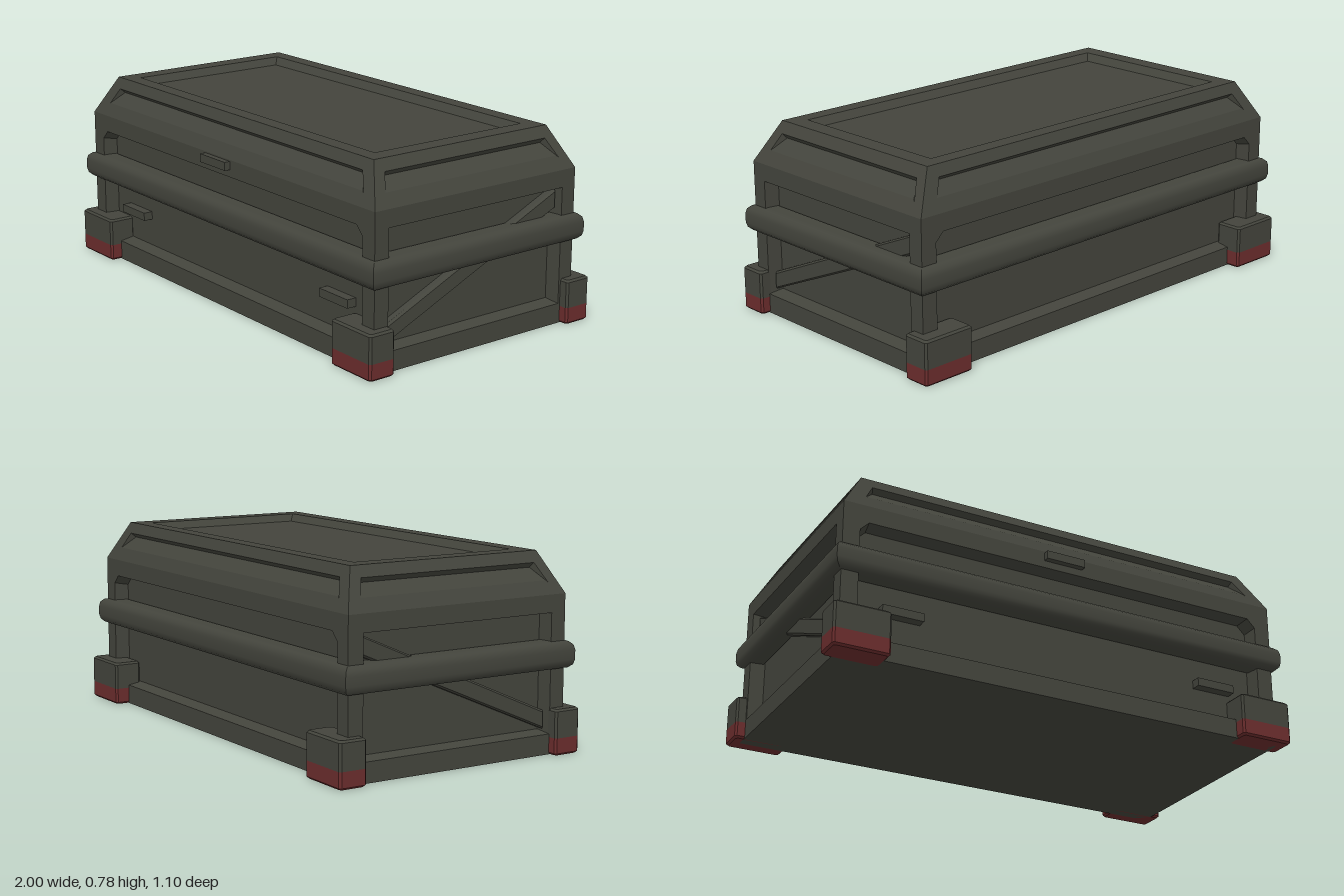
import * as THREE from 'three';

const metal = new THREE.MeshStandardMaterial({ color: 0x43443c });
metal.name = 'dark olive metal';
const red = new THREE.MeshStandardMaterial({ color: 0x6b2d2d });
red.name = 'dull red paint';

function add(parent, name, geometry, material = metal) {
  const mesh = new THREE.Mesh(geometry, material);
  mesh.name = name;
  parent.add(mesh);
  return mesh;
}

function fromTriangles(points) {
  const g = new THREE.BufferGeometry();
  g.setAttribute('position', new THREE.Float32BufferAttribute(points, 3));
  g.computeVertexNormals();
  return g;
}

// Flat plate facing +z with a sunken field; depths holds one depth per hole corner
function sunkenPanel(outer, hole, inset, depths) {
  const v2 = (list) => list.map(([x, y]) => new THREE.Vector2(x, y));
  const shape = new THREE.Shape(v2(outer));
  shape.holes.push(new THREE.Path(v2(hole)));
  const frame = new THREE.ShapeGeometry(shape).toNonIndexed();
  const pts = Array.from(frame.attributes.position.array);

  const ys = hole.map((p) => p[1]);
  const cy = (Math.min(...ys) + Math.max(...ys)) / 2;
  const rim = hole.map(([x, y]) => [x, y, 0]);
  const floor = hole.map(([x, y], i) =>
    [x - Math.sign(x) * inset, y - Math.sign(y - cy) * inset, -depths[i]]);
  const n = hole.length;
  for (let i = 0; i < n; i++) {
    const j = (i + 1) % n;
    pts.push(...rim[i], ...rim[j], ...floor[j], ...rim[i], ...floor[j], ...floor[i]);
    if (i > 0 && i < n - 1) pts.push(...floor[0], ...floor[i], ...floor[i + 1]);
  }
  return fromTriangles(pts);
}

// Tilt a plate back, move it out from the middle and turn it to its side
const place = (g, tilt, y, out, turn) => g.rotateX(-tilt).translate(0, y, out).rotateY(turn);

// Chamfered block from rectangular rings of [y, inset]
function block(w, d, rings) {
  const c = 0.008;
  const loops = rings.map(([y, inset]) => {
    const x = w / 2 - inset, z = d / 2 - inset;
    return [[x, z - c], [x - c, z], [c - x, z], [-x, z - c],
      [-x, c - z], [c - x, -z], [x - c, -z], [x, c - z]].map(([a, b]) => [a, y, b]);
  });
  const pts = [], top = loops[loops.length - 1], base = loops[0];
  for (let k = 0; k < loops.length - 1; k++) {
    for (let i = 0; i < 8; i++) {
      const j = (i + 1) % 8, a = loops[k], b = loops[k + 1];
      pts.push(...a[i], ...b[j], ...a[j], ...a[i], ...b[i], ...b[j]);
    }
  }
  for (let i = 1; i < 7; i++) {
    pts.push(...top[0], ...top[i + 1], ...top[i]);
    pts.push(...base[0], ...base[i], ...base[i + 1]);
  }
  return fromTriangles(pts);
}

// One mitred side of the rounded bumper, facing +z
function bumperSide(halfLength, out) {
  const profile = [[-0.03, -0.055], [0.015, -0.055], [0.036, -0.051], [0.05, -0.038], [0.055, -0.018],
    [0.055, 0.018], [0.05, 0.038], [0.036, 0.051], [0.015, 0.055], [-0.03, 0.055]];
  const pos = [], index = [];
  profile.forEach(([o, y], i) => {
    pos.push(-halfLength - o, y, out + o, halfLength + o, y, out + o);
    if (i) {
      const a = 2 * i - 2;
      index.push(a, a + 1, a + 3, a, a + 3, a + 2);
    }
  });
  const g = new THREE.BufferGeometry();
  g.setAttribute('position', new THREE.Float32BufferAttribute(pos, 3));
  g.setIndex(index);
  g.computeVertexNormals();
  return g;
}

const rect = (w, y0, y1) => [[-w, y0], [w, y0], [w, y1], [-w, y1]];

export function createModel() {
  const model = new THREE.Group();
  model.name = 'storageCrate';
  const crate = new THREE.Group();
  crate.name = 'crate';
  crate.position.z = 0.005;
  model.add(crate);

  const X = 0.96, Z = 0.495, topX = 0.865, topZ = 0.425, rimY = 0.62, topY = 0.78;
  const rise = topY - rimY, depth = 0.06;
  const longHole = [[-0.89, 0.08], [0.89, 0.08], [0.89, 0.515], [0.855, 0.55], [-0.855, 0.55], [-0.89, 0.515]];
  const sides = [
    { name: 'front', turn: 0, w: X, out: Z, tw: topX, tout: topZ, hole: longHole, low: 0.87, high: 0.825 },
    { name: 'back', turn: Math.PI, w: X, out: Z, tw: topX, tout: topZ, hole: longHole, low: 0.87, high: 0.825 },
    { name: 'left', turn: Math.PI / 2, w: Z, out: X, tw: topZ, tout: topX, hole: rect(0.43, 0.08, 0.55), low: 0.43, high: 0.395 },
    { name: 'right', turn: -Math.PI / 2, w: Z, out: X, tw: topZ, tout: topX, hole: rect(0.43, 0.08, 0.55), low: 0.43, high: 0.395 },
  ];

  for (const s of sides) {
    // Body wall with its recessed field
    const wall = sunkenPanel(rect(s.w, 0, rimY), s.hole, 0.01, s.hole.map(() => depth));
    add(crate, s.name + 'Wall', place(wall, 0, 0, s.out, s.turn));

    // Sloping lid face, hollowed towards its upper edge
    const run = s.out - s.tout, slope = Math.hypot(run, rise);
    const v0 = slope * 0.28, v1 = slope * 0.73;
    const lidFace = sunkenPanel(
      [[-s.w, 0], [s.w, 0], [s.tw, slope], [-s.tw, slope]],
      [[-s.low, v0], [s.low, v0], [s.high, v1], [-s.high, v1]],
      0.008, [0, 0, 0.025, 0.025]);
    add(crate, s.name + 'LidSlope', place(lidFace, Math.atan2(run, rise), rimY, s.out, s.turn));

    // Bumper bar
    const bar = bumperSide(s.w - 0.025, s.out - 0.025);
    add(crate, s.name + 'Bumper', place(bar, 0, 0.385, 0, s.turn));
  }

  // Lid top and underside
  const top = sunkenPanel(rect(topX, -topZ, topZ), rect(0.79, -0.36, 0.36), 0.025, [0.03, 0.03, 0.03, 0.03]);
  add(crate, 'lidTop', place(top, Math.PI / 2, topY, 0, 0));
  add(crate, 'underside', new THREE.PlaneGeometry(X * 2, Z * 2).rotateX(Math.PI / 2));

  // Diagonal braces in the end walls, low at the front
  for (const m of [1, -1]) {
    const shape = new THREE.Shape([[-0.42, 0.1], [0.42, 0.465], [0.42, 0.535], [-0.42, 0.165]]
      .map(([u, v]) => new THREE.Vector2(u * m, v)));
    const brace = new THREE.ExtrudeGeometry(shape, {
      depth: 0.025, bevelEnabled: true, bevelSegments: 1, bevelSize: 0.008, bevelThickness: 0.01, bevelOffset: -0.004,
    });
    add(crate, m > 0 ? 'leftBrace' : 'rightBrace', place(brace, 0, 0, X - depth, m * Math.PI / 2));
  }

  // Latch and two grips on the front
  add(crate, 'latch', new THREE.BoxGeometry(0.17, 0.034, 0.05)).position.set(-0.02, 0.597, Z);
  for (const x of [-0.695, 0.695]) {
    add(crate, 'grip', new THREE.BoxGeometry(0.17, 0.034, 0.05)).position.set(x, 0.222, Z - 0.045);
  }

  // Corner feet with painted lower bands
  for (const x of [-0.885, 0.885]) {
    for (const z of [-0.492, 0.492]) {
      const foot = new THREE.Group();
      foot.name = 'cornerFoot';
      foot.position.set(x, 0, z);
      add(foot, 'footBlock', block(0.23, 0.116, [[0.068, 0], [0.172, 0], [0.18, 0.008]]));
      add(foot, 'footBand', block(0.23, 0.116, [[0, 0.008], [0.008, 0], [0.068, 0]]), red);
      model.add(foot);
    }
  }
  return model;
}
